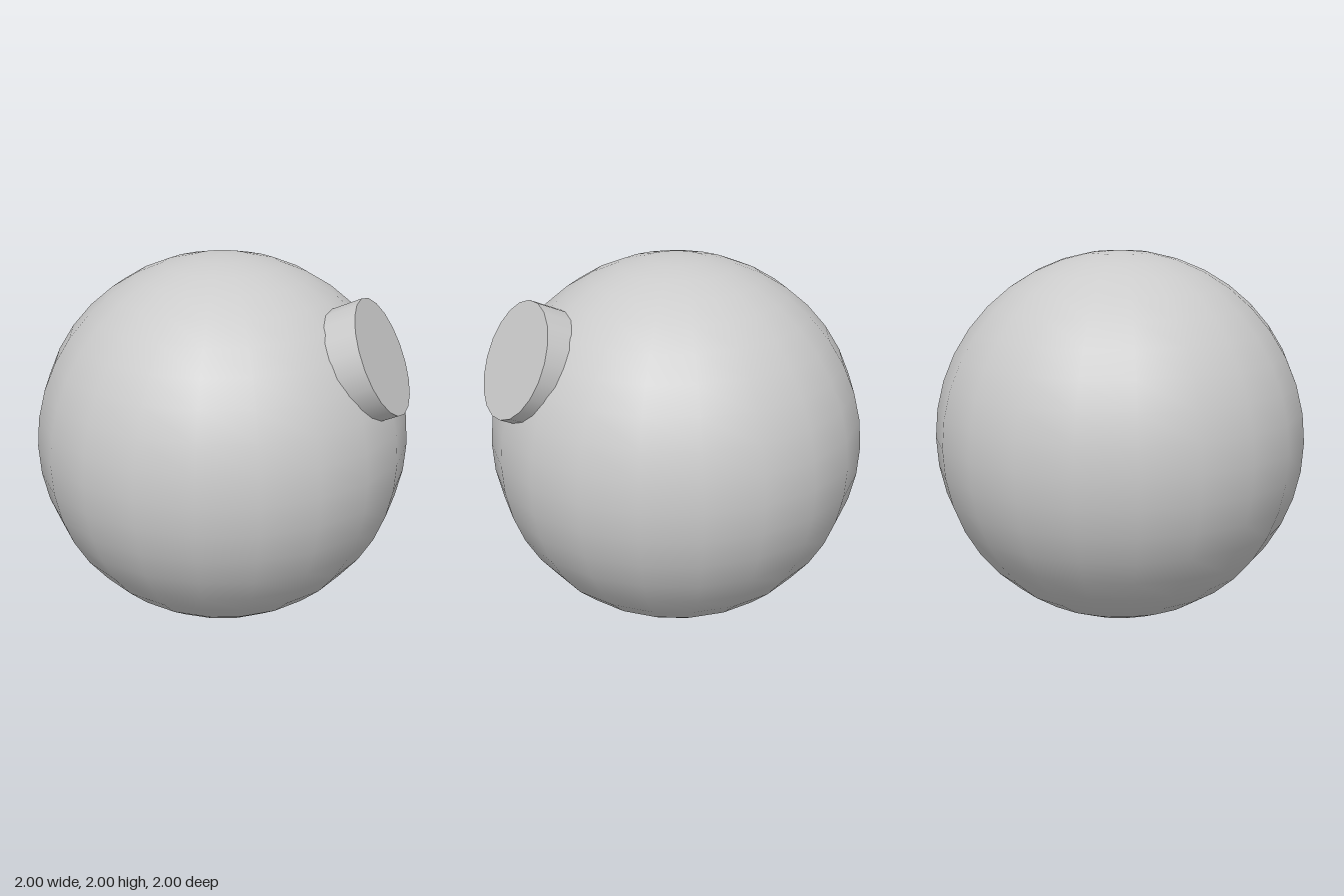
import * as THREE from 'three';

export function createModel() {
  const group = new THREE.Group();
  const material = new THREE.MeshStandardMaterial({ color: 0xcccccc });

  // Large smooth ball
  const ball = new THREE.Mesh(new THREE.SphereGeometry(1, 20, 20), material);
  ball.name = 'ball';
  ball.position.y = 1;
  group.add(ball);

  // Short round plug, its inner end sunk into the ball
  const depth = 0.26;
  const axis = new THREE.Vector3(0.883, 0.414, 0.22).normalize();
  const capCentre = new THREE.Vector3(0.853, 1.566, 0.28);
  const plug = new THREE.Mesh(new THREE.CylinderGeometry(0.312, 0.312, depth, 20), material);
  plug.name = 'plug';
  plug.quaternion.setFromUnitVectors(new THREE.Vector3(0, 1, 0), axis);
  plug.position.copy(capCentre).addScaledVector(axis, -depth / 2);
  group.add(plug);

  return group;
}
